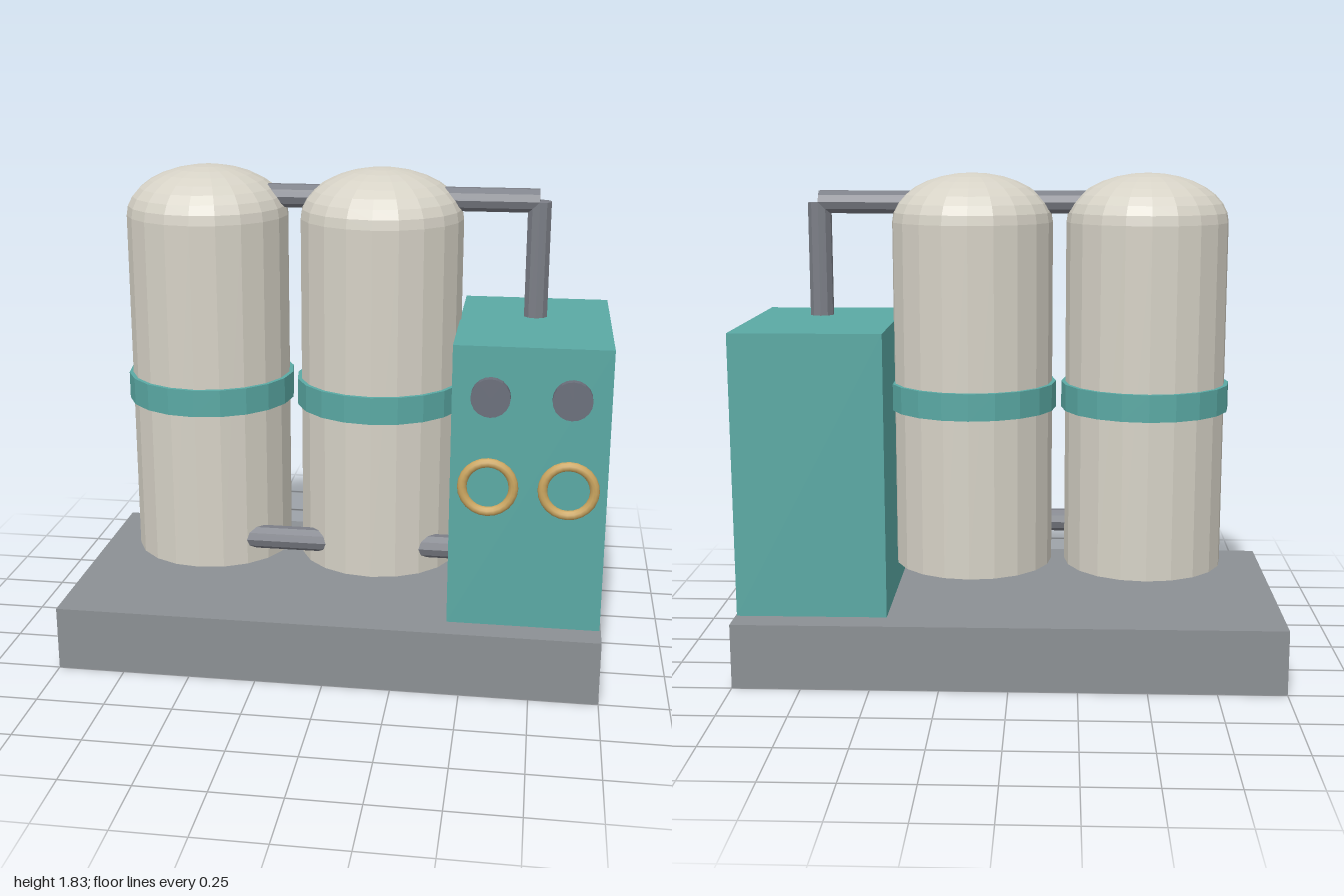
import * as THREE from 'three';

const paint = (name, color, flatShading = false) => {
  const m = new THREE.MeshStandardMaterial({ color, flatShading });
  m.name = name;
  return m;
};

export function createModel() {
  const model = new THREE.Group();
  model.name = 'twinTankUnit';

  const grey = paint('base grey', 0x8c9094, true);
  const cream = paint('tank cream', 0xd6d2c6, true);
  const teal = paint('teal', 0x5aa9a4, true);
  const steel = paint('pipe steel', 0x7b7e86, true);
  const dark = paint('gauge grey', 0x6b6f7b, true);
  const brass = paint('brass', 0xcba660);

  const add = (parent, name, geometry, material, x, y, z) => {
    const mesh = new THREE.Mesh(geometry, material);
    mesh.name = name;
    mesh.position.set(x, y, z);
    parent.add(mesh);
    return mesh;
  };

  // Plinth and control cabinet
  add(model, 'base', new THREE.BoxGeometry(2, 0.24, 1), grey, 0, 0.12, 0);
  add(model, 'cabinet', new THREE.BoxGeometry(0.55, 1.04, 0.8), teal, 0.72, 0.76, 0);

  // Two domed tanks, raised off the plinth, each with a teal band
  for (const [name, x] of [['outerTank', -0.5], ['innerTank', 0.15]]) {
    const tank = new THREE.Group();
    tank.name = name;
    tank.position.x = x;
    model.add(tank);
    add(tank, 'tankBody', new THREE.CylinderGeometry(0.3, 0.3, 1.295, 20), cream, 0, 1.0025, 0);
    const dome = new THREE.SphereGeometry(0.3, 20, 8, 0, Math.PI * 2, 0, Math.PI / 2);
    add(tank, 'tankDome', dome.scale(1, 0.6, 1), cream, 0, 1.65, 0);
    add(tank, 'tankBand', new THREE.CylinderGeometry(0.315, 0.315, 0.1, 20), teal, 0, 1.002, 0);
  }

  // Straight pipes
  const pipe = (name, length, x, y, z, horizontal) => {
    const mesh = add(model, name, new THREE.CylinderGeometry(0.044, 0.044, length, 10), steel, x, y, z);
    if (horizontal) mesh.rotation.z = Math.PI / 2;
  };
  pipe('topPipe', 1.22, 0.11, 1.722, 0, true);
  pipe('downPipe', 0.42, 0.72, 1.51, 0, false);
  pipe('lowerPipe', 1.0, 0, 0.452, 0.2, true);

  // Gauges and valve rings in front of the cabinet
  for (const x of [0.58, 0.86]) {
    add(model, 'gauge', new THREE.CylinderGeometry(0.069, 0.069, 0.03, 20), dark, x, 1.104, 0.42)
      .rotation.x = Math.PI / 2;
    add(model, 'valveRing', new THREE.TorusGeometry(0.09, 0.017, 10, 24), brass, x, 0.783, 0.44);
  }
  return model;
}
